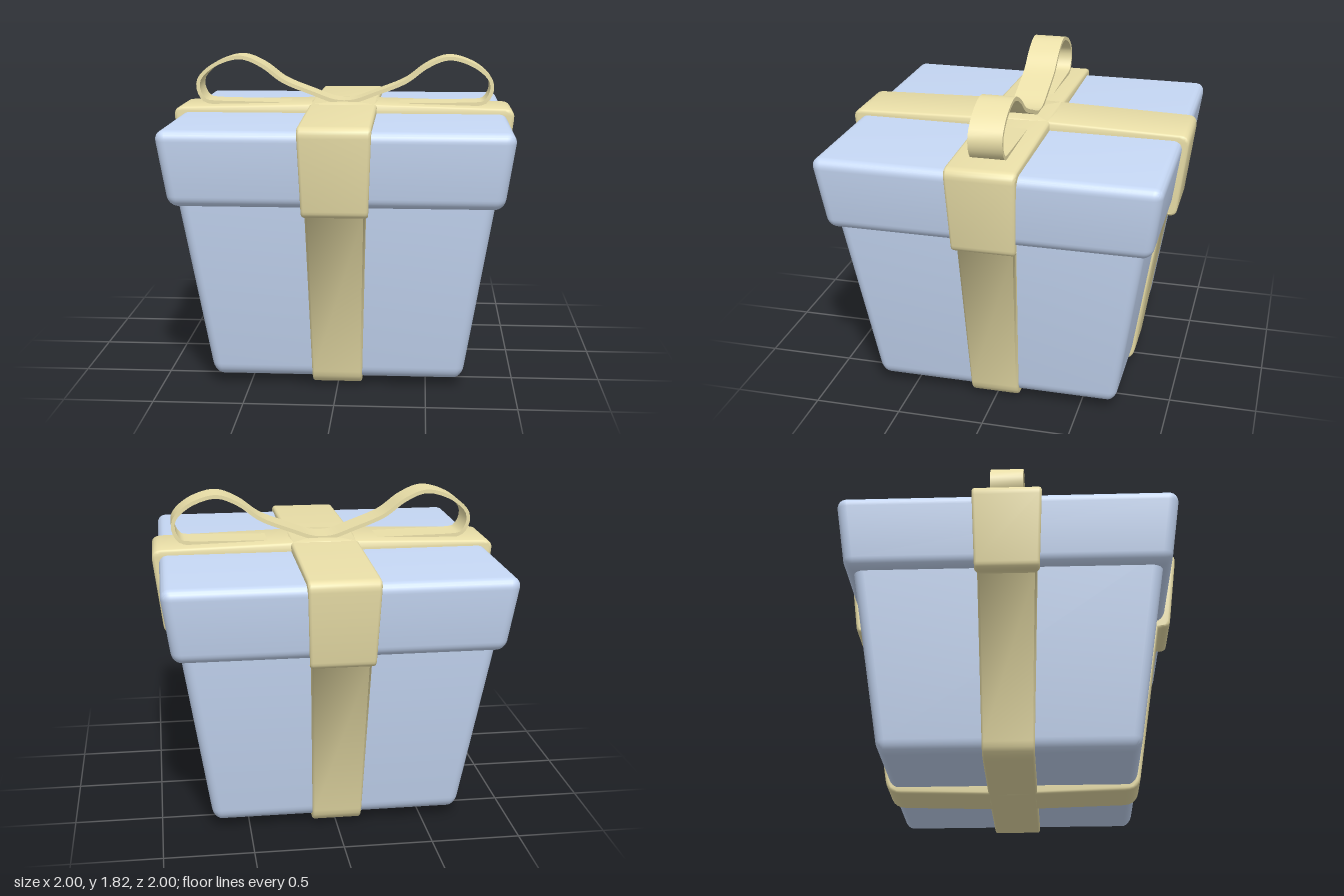
import * as THREE from 'three';
import { toCreasedNormals } from 'three/addons/utils/BufferGeometryUtils.js';
import { RoundedBoxGeometry } from 'three/addons/geometries/RoundedBoxGeometry.js';

const blue = new THREE.MeshStandardMaterial({ color: 0xc6d8f5 });
const cream = new THREE.MeshStandardMaterial({ color: 0xeadfa8 });

function mesh(name, geometry, material) {
  const m = new THREE.Mesh(geometry, material);
  m.name = name;
  return m;
}

// Move every vertex by a rule
function deform(geometry, rule) {
  const p = geometry.attributes.position;
  const v = new THREE.Vector3();
  for (let i = 0; i < p.count; i++) {
    rule(v.fromBufferAttribute(p, i));
    p.setXYZ(i, v.x, v.y, v.z);
  }
  return geometry;
}

// Rounded square box whose half width grows with height
function taperedBox(y0, y1, radius, halfWidth) {
  const geo = new RoundedBoxGeometry(2, y1 - y0, 2, 4, radius);
  geo.translate(0, (y0 + y1) / 2, 0);
  deform(geo, (v) => {
    const w = halfWidth(v.y);
    v.x *= w;
    v.z *= w;
  });
  return toCreasedNormals(geo, 0.8);
}

// Closed outline from [x, y, cornerRadius] points
function roundedShape(points) {
  const shape = new THREE.Shape();
  const n = points.length;
  points.forEach(([x, y, r], i) => {
    const toward = ([px, py]) => {
      const d = Math.hypot(px - x, py - y);
      return [x + ((px - x) * r) / d, y + ((py - y) * r) / d];
    };
    const a = toward(points[(i + n - 1) % n]);
    const b = toward(points[(i + 1) % n]);
    if (i === 0) shape.moveTo(...a);
    else shape.lineTo(...a);
    if (r > 0) shape.quadraticCurveTo(x, y, ...b);
  });
  shape.closePath();
  return shape;
}

// Band around box and lid, wider where the box is wider
function bandGeometry() {
  const half = [
    [0.72, 0.02, 0.08],
    [0.88, 1.03, 0],
    [0.944, 1.03, 0.04],
    [1.006, 1.53, 0.06],
  ];
  const outline = [
    [0, 0, 0],
    ...half,
    [0, 1.555, 0],
    ...half.map(([x, y, r]) => [-x, y, r]).reverse(),
  ];
  const bevel = 0.015;
  const geo = new THREE.ExtrudeGeometry(roundedShape(outline), {
    depth: 2 - 2 * bevel / 0.18,
    curveSegments: 5,
    bevelSize: bevel,
    bevelOffset: -bevel,
    bevelThickness: bevel / 0.18,
    bevelSegments: 2,
  });
  geo.translate(0, 0, -1 + bevel / 0.18);
  deform(geo, (v) => {
    const onBody = v.y < 1.01 || (v.y < 1.2 && Math.abs(v.x) < 0.89);
    v.z *= onBody ? 0.139 + 0.027 * v.y : 0.143 + 0.036 * v.y;
  });
  return toCreasedNormals(geo, 1.5);
}

// One bow loop: a thin strip following a curve, side is 1 or -1
function bowLoopGeometry(side) {
  const path = [
    [0, 1.552], [0.07, 1.56], [0.18, 1.6], [0.36, 1.672], [0.49, 1.765], [0.62, 1.813],
    [0.76, 1.775], [0.855, 1.7], [0.872, 1.63], [0.84, 1.565], [0.78, 1.546],
    [0.5, 1.54], [0, 1.528],
  ];
  const curve = new THREE.SplineCurve(path.map(([x, y]) => new THREE.Vector2(x * side, y)));
  const steps = 72;
  const thickness = 0.022;
  const outer = [];
  const inner = [];
  for (let i = 0; i <= steps; i++) {
    const p = curve.getPointAt(i / steps);
    const t = curve.getTangentAt(i / steps);
    const n = new THREE.Vector2(-t.y, t.x).multiplyScalar(thickness / 2);
    outer.push(p.clone().add(n));
    inner.push(p.clone().sub(n));
  }
  const geo = new THREE.ExtrudeGeometry(new THREE.Shape([...outer, ...inner.reverse()]), {
    depth: 0.19,
    bevelEnabled: false,
  });
  geo.translate(0, 0, -0.1);
  return toCreasedNormals(geo, 0.7);
}

export function createModel() {
  const group = new THREE.Group();
  group.name = 'giftBox';

  // Box and lid
  group.add(mesh('boxBody', taperedBox(0.055, 1.2, 0.07, (y) => 0.697 + 0.153 * y), blue));
  group.add(mesh('lid', taperedBox(1.075, 1.5, 0.06, (y) => 0.758 + 0.14 * y), blue));

  // Crossing ribbon bands
  const band = bandGeometry();
  const sideBand = mesh('ribbonAcross', band, cream);
  const frontBand = mesh('ribbonFrontToBack', band, cream);
  frontBand.rotation.y = Math.PI / 2;
  group.add(sideBand, frontBand);

  // Bow
  const bow = new THREE.Group();
  bow.name = 'bow';
  bow.add(mesh('leftLoop', bowLoopGeometry(1), cream));
  bow.add(mesh('rightLoop', bowLoopGeometry(-1), cream));
  group.add(bow);

  return group;
}
